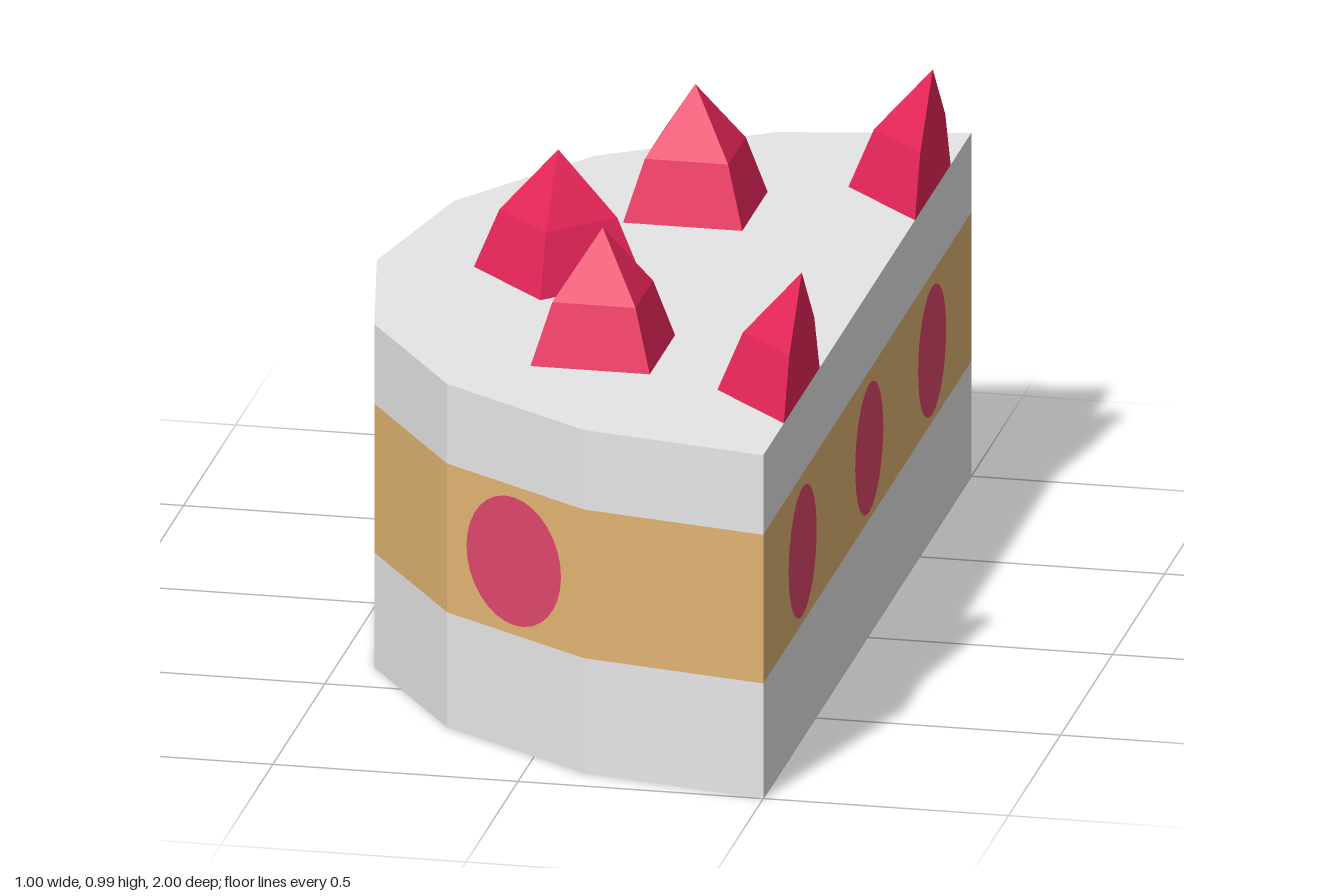
import * as THREE from 'three';

const TOP = 0.725, BAND_LOW = 0.243, BAND_HIGH = 0.557;
const SIDES = 8, CUT_X = 0.5;

export function createModel() {
  const cake = new THREE.Group();
  cake.name = 'halfCake';
  const paint = (name, hex) => {
    const m = new THREE.MeshStandardMaterial({ color: hex });
    m.name = name;
    return m;
  };
  const cream = paint('cream', 0xe6e6e6);
  const sponge = paint('sponge', 0xe2b473);
  const slice = paint('fruitSlice', 0xdf476c);
  const berry = paint('berry', 0xe8265a);

  const add = (name, geometry, material, parent = cake) => {
    const mesh = new THREE.Mesh(geometry, material);
    mesh.name = name;
    parent.add(mesh);
    return mesh;
  };

  // Half-round outline: eight flat sides and a straight cut at +x
  const outline = new THREE.Shape();
  for (let i = 0; i <= SIDES; i++) {
    const a = Math.PI / 2 + (i * Math.PI) / SIDES;
    const x = CUT_X + Math.cos(a), y = Math.sin(a);
    i ? outline.lineTo(x, y) : outline.moveTo(x, y);
  }
  outline.closePath();

  // Stacked layers
  const layer = (name, low, high, material) => {
    const g = new THREE.ExtrudeGeometry(outline, { depth: high - low, bevelEnabled: false });
    g.rotateX(-Math.PI / 2).translate(0, low, 0);
    add(name, g, material);
  };
  layer('bottomLayer', 0, BAND_LOW, cream);
  layer('spongeBand', BAND_LOW, BAND_HIGH, sponge);
  layer('topLayer', BAND_HIGH, TOP, cream);

  // Round fruit slices: on every other curved side and along the cut
  const spotGeo = new THREE.CircleGeometry(0.135, 32);
  const spot = (x, z, turn) => {
    const m = add('fruitSlice', spotGeo, slice);
    m.position.set(x, 0.4, z);
    m.rotation.y = turn;
  };
  const apothem = Math.cos(Math.PI / SIDES / 2) + 0.004;
  for (let k = 0; k < SIDES; k += 2) {
    const phi = Math.PI + ((k + 0.5) * Math.PI) / SIDES;
    spot(CUT_X + apothem * Math.sin(phi), apothem * Math.cos(phi), phi);
  }
  for (const z of [0.64, 0, -0.605]) spot(CUT_X + 0.004, z, Math.PI / 2);

  // Four-sided berries with a steep lower and a shallower upper tier
  const profile = [[0.172, 0], [0.12, 0.125], [0, 0.26]].map(p => new THREE.Vector2(...p));
  const berryGeo = (segments, start, length) => {
    const g = new THREE.LatheGeometry(profile, segments, start, length).toNonIndexed();
    g.computeVertexNormals();
    return g;
  };
  const wholeGeo = berryGeo(4, 0, Math.PI * 2);
  const halfGeo = berryGeo(2, Math.PI, Math.PI);
  const cutShape = new THREE.Shape([
    ...profile,
    ...profile.slice(0, 2).reverse().map(p => new THREE.Vector2(-p.x, p.y)),
  ]);
  const cutGeo = new THREE.ShapeGeometry(cutShape).rotateY(Math.PI / 2);

  for (const [x, z, turn] of [[-0.13, 0, 0], [0.055, 0.445, Math.PI / 4], [0.055, -0.445, Math.PI / 4]]) {
    const m = add('berry', wholeGeo, berry);
    m.position.set(x, TOP, z);
    m.rotation.y = turn;
  }

  // Berries sliced through by the cut
  for (const z of [0.63, -0.63]) {
    const half = new THREE.Group();
    half.name = 'halfBerry';
    half.position.set(CUT_X, TOP, z);
    add('halfBerrySkin', halfGeo, berry, half);
    add('halfBerryCut', cutGeo, berry, half);
    cake.add(half);
  }
  return cake;
}
